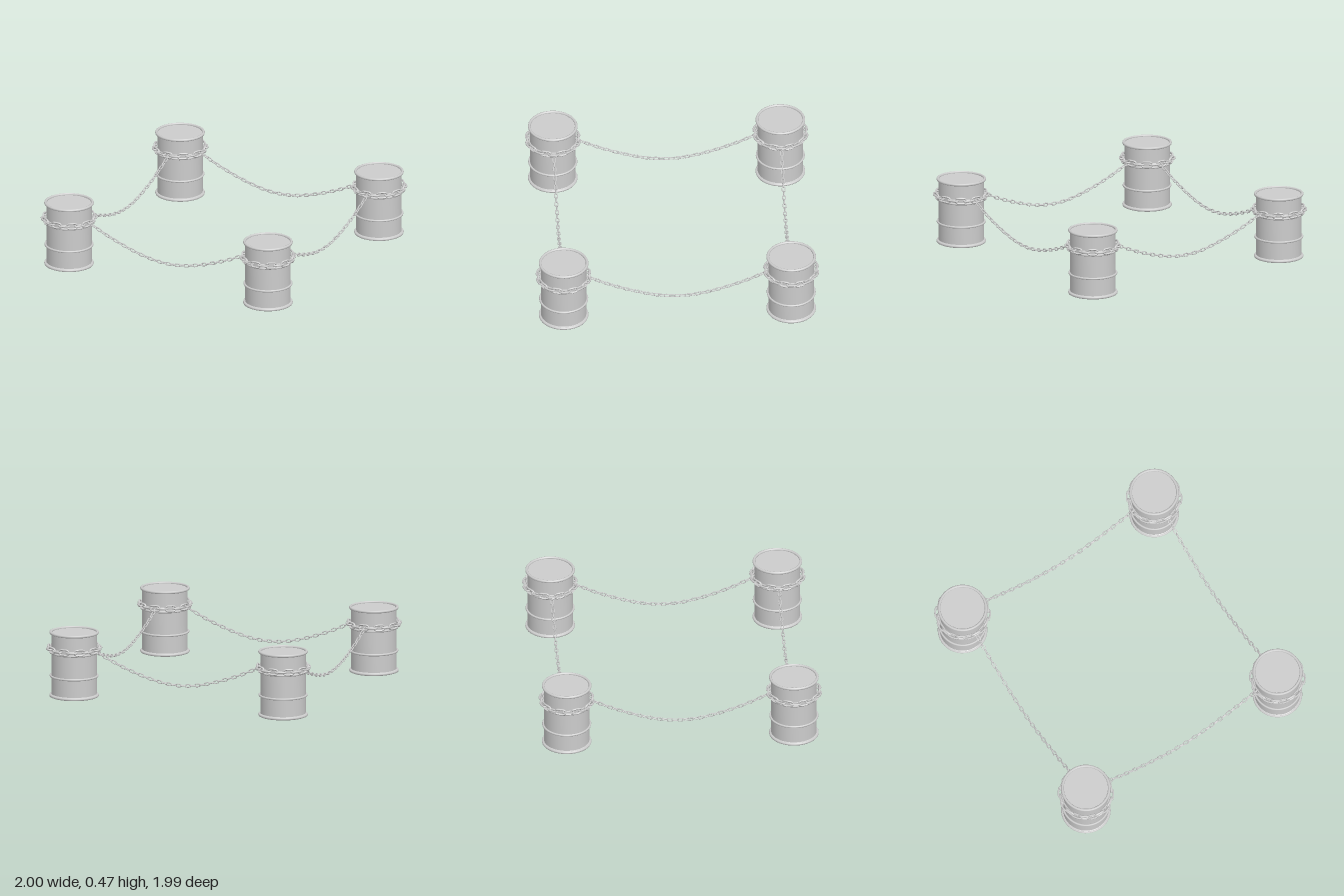
import * as THREE from 'three';
import { mergeGeometries, toCreasedNormals } from 'three/addons/utils/BufferGeometryUtils.js';

const metal = new THREE.MeshStandardMaterial({ color: 0xcccccc });
const SPACING = 0.8;      // barrel distance from the centre on x and z
const RING_Y = 0.348;     // height of the chain wrapped round each barrel
const RING_R = 0.181;

function mesh(geometry, name) {
  const m = new THREE.Mesh(geometry, metal);
  m.name = name;
  return m;
}

// Oval chain link lying in the xy plane, long axis on x
function linkGeometry(length, width, wire) {
  const r = width / 2 - wire;
  const s = length / 2 - wire - r;
  const path = new THREE.CurvePath();
  const points = [];
  for (let end = 0; end < 2; end++) {
    const sign = end ? -1 : 1;
    for (let i = 0; i <= 6; i++) {
      const a = -Math.PI / 2 + (i / 6) * Math.PI;
      points.push(new THREE.Vector3(sign * (s + r * Math.cos(a)), sign * r * Math.sin(a), 0));
    }
  }
  points.forEach((p, i) => path.add(new THREE.LineCurve3(p, points[(i + 1) % points.length])));
  const loop = new THREE.CatmullRomCurve3(points, true, 'centripetal');
  return new THREE.TubeGeometry(loop, 24, wire, 6, true);
}

// Wrap a link around the barrel axis: x becomes arc length, z becomes radius
function bendLink(geometry, angle) {
  const p = geometry.attributes.position;
  for (let i = 0; i < p.count; i++) {
    const a = angle + p.getX(i) / RING_R;
    const r = RING_R + p.getZ(i);
    p.setXYZ(i, r * Math.sin(a), p.getY(i), r * Math.cos(a));
  }
  geometry.computeVertexNormals();
  return geometry;
}

function createBarrel() {
  const barrel = new THREE.Group();
  barrel.name = 'barrel';

  // Drum shell with a recessed lid and a closed bottom
  const profile = [[0, 0.005], [0.166, 0.005], [0.166, 0.018], [0.16, 0.022], [0.16, 0.45],
    [0.166, 0.454], [0.166, 0.466], [0.16, 0.466], [0.157, 0.457], [0, 0.457]]
    .map(([x, y]) => new THREE.Vector2(x, y));
  barrel.add(mesh(toCreasedNormals(new THREE.LatheGeometry(profile, 40), 0.6), 'drum'));

  // Rolled rims and raised hoops
  for (const [y, wire, name] of [[0.01, 0.01, 'bottomRim'], [0.15, 0.008, 'lowerHoop'],
    [0.32, 0.008, 'upperHoop'], [0.46, 0.01, 'topRim']]) {
    const hoop = mesh(new THREE.TorusGeometry(0.165, wire, 8, 40), name);
    hoop.rotation.x = Math.PI / 2;
    hoop.position.y = y;
    barrel.add(hoop);
  }

  // Wrapped chain: links alternate between upright and flat
  const links = [];
  for (let i = 0; i < 20; i++) {
    const link = linkGeometry(0.088, i % 2 ? 0.036 : 0.05, 0.0065);
    if (i % 2) link.rotateX(Math.PI / 2);
    links.push(bendLink(link, (i / 20) * Math.PI * 2));
  }
  const ring = mesh(mergeGeometries(links), 'wrappedChain');
  ring.position.y = RING_Y;
  barrel.add(ring);
  return barrel;
}

// Sagging chain along x between two barrels
function hangingChainGeometry() {
  const half = [[0.625, 0.333], [0.5, 0.274], [0.4, 0.234], [0.3, 0.2], [0.2, 0.172], [0.1, 0.153]];
  const curve = new THREE.CatmullRomCurve3([
    ...half.map(([x, y]) => new THREE.Vector3(-x, y, 0)),
    new THREE.Vector3(0, 0.147, 0),
    ...half.slice().reverse().map(([x, y]) => new THREE.Vector3(x, y, 0)),
  ]);
  const count = 36;
  const links = [];
  for (let i = 0; i <= count; i++) {
    const point = curve.getPointAt(i / count);
    const tangent = curve.getTangentAt(i / count);
    const link = linkGeometry(0.047, 0.027, 0.0042);
    if (i % 2) link.rotateX(Math.PI / 2);
    link.rotateZ(Math.atan2(tangent.y, tangent.x));
    link.translate(point.x, point.y, point.z);
    links.push(link);
  }
  return mergeGeometries(links);
}

export function createModel() {
  const model = new THREE.Group();
  model.name = 'chainedBarrels';

  // Four corner barrels
  for (const x of [-1, 1]) {
    for (const z of [-1, 1]) {
      const barrel = createBarrel();
      barrel.position.set(x * SPACING, 0, z * SPACING);
      model.add(barrel);
    }
  }

  // One hanging chain on each side of the square
  const chain = hangingChainGeometry();
  ['frontChain', 'leftChain', 'backChain', 'rightChain'].forEach((name, i) => {
    const side = new THREE.Group();
    side.name = name;
    const links = mesh(chain, 'chainLinks');
    links.position.z = SPACING;
    side.add(links);
    side.rotation.y = (i * Math.PI) / 2;
    model.add(side);
  });
  return model;
}
